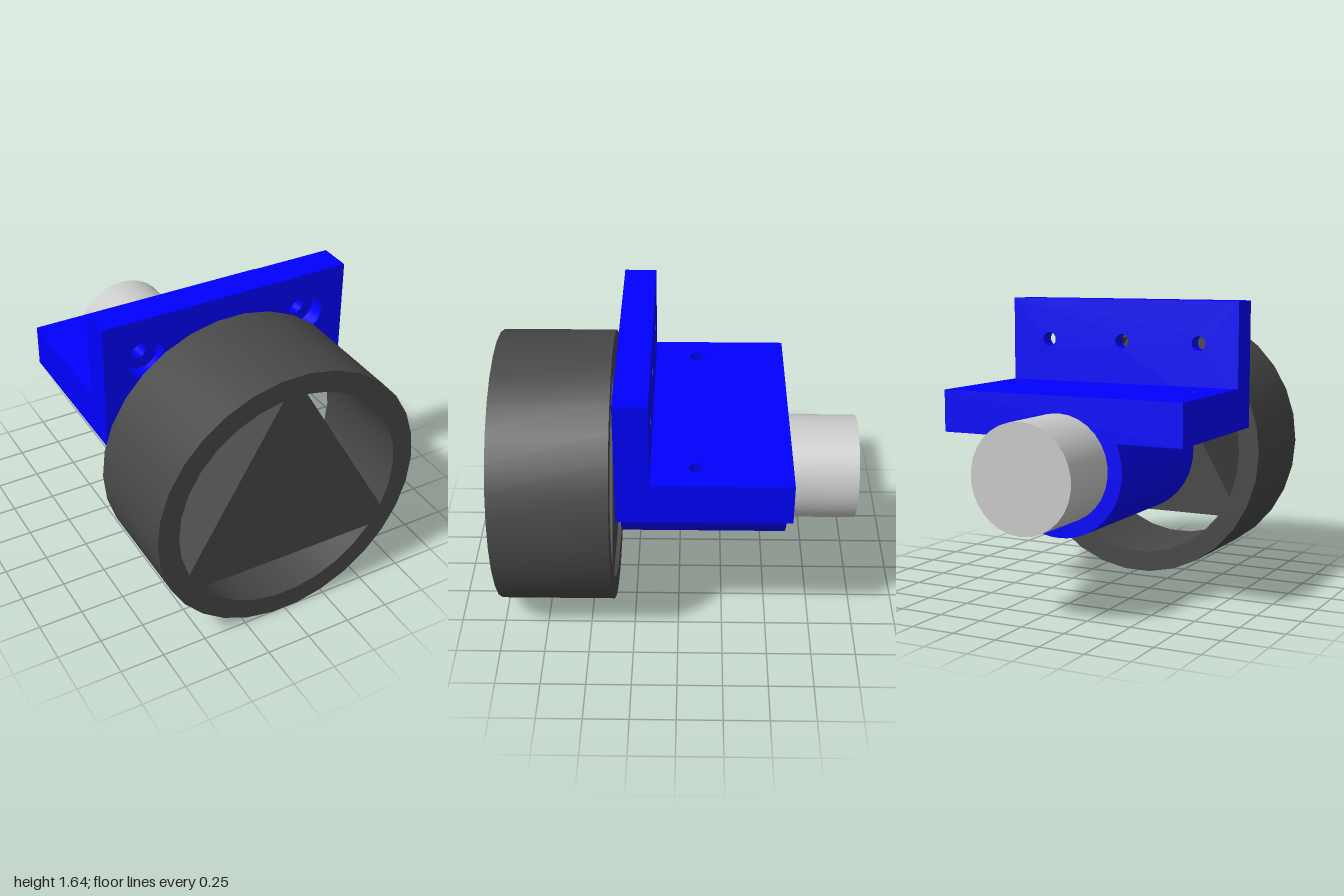
import * as THREE from 'three';
import { toCreasedNormals } from 'three/addons/utils/BufferGeometryUtils.js';

const AXIS_Y = 0.767; // height of the motor and wheel axis
const SIDES = 30;
const BACK = -0.605, FRONT = 0.325; // z range of the bracket

const blue = new THREE.MeshStandardMaterial({ color: 0x0000ff });
const dark = new THREE.MeshStandardMaterial({ color: 0x484848 });
const grey = new THREE.MeshStandardMaterial({ color: 0xcccccc });

// Points on a circle between two angles in degrees
function arc(r, from, to, steps, cx = 0, cy = 0) {
  return Array.from({ length: steps + 1 }, (_, i) => {
    const a = THREE.MathUtils.degToRad(from + (to - from) * i / steps);
    return new THREE.Vector2(cx + r * Math.cos(a), cy + r * Math.sin(a));
  });
}

const circle = (r, cx, cy, sides = SIDES) => arc(r, 0, 360 - 360 / sides, sides - 1, cx, cy);

function rect(x0, y0, x1, y1) {
  return [[x0, y0], [x1, y0], [x1, y1], [x0, y1]].map(p => new THREE.Vector2(...p));
}

// Straight extrusion along +z with smooth round walls and sharp edges
function extrude(outline, holes, depth) {
  const shape = new THREE.Shape(outline);
  shape.holes = holes.map(h => new THREE.Path(h));
  const geo = new THREE.ExtrudeGeometry(shape, { depth, bevelEnabled: false });
  return toCreasedNormals(geo, 0.5);
}

function add(parent, name, geo, material, x = 0, y = 0, z = 0) {
  const mesh = new THREE.Mesh(geo, material);
  mesh.name = name;
  mesh.position.set(x, y, z);
  parent.add(mesh);
  return mesh;
}

function rod(r, z0, z1) {
  return new THREE.CylinderGeometry(r, r, z1 - z0, SIDES)
    .rotateX(Math.PI / 2).translate(0, 0, (z0 + z1) / 2);
}

export function createModel() {
  const model = new THREE.Group();
  model.name = 'motorWheelUnit';

  // Wheel: a rim around a triangular web, leaving three round-backed openings
  const openings = [216, 336, 456].map(a => arc(0.65, a, a + 108, 9));
  add(model, 'wheel', extrude(circle(0.77, 0, 0), openings, 0.64), dark, 0, AXIS_Y, 0.36);

  // Motor and its drive shaft
  add(model, 'motor', rod(0.295, -1, -0.3), grey, 0, AXIS_Y);
  add(model, 'shaft', rod(0.045, 0.2, 0.5), grey, 0, AXIS_Y);

  // Bracket
  const bracket = new THREE.Group();
  bracket.name = 'bracket';
  model.add(bracket);

  // Upright plate: counterbored screw holes, wide in front and narrow behind
  const plate = rect(-0.72, 0.92, 0.72, 1.64);
  const screwHoles = r => [-0.48, 0, 0.48].map(x => circle(r, x, 1.4));
  add(bracket, 'uprightPlateFront', extrude(plate, screwHoles(0.108), 0.09), blue, 0, 0, FRONT - 0.09);
  add(bracket, 'uprightPlateBack', extrude(plate, screwHoles(0.042), 0.09), blue, 0, 0, FRONT - 0.18);

  // Shelf with two vertical screw holes
  const shelf = extrude(
    rect(-0.72, BACK, 0.72, FRONT - 0.18),
    [-0.555, 0.555].map(x => circle(0.042, x, -0.1)), 0.235);
  add(bracket, 'shelf', shelf.rotateX(Math.PI / 2), blue, 0, 1.155);

  // Rounded motor housing hanging below the shelf
  const a = THREE.MathUtils.radToDeg(Math.asin((0.92 - AXIS_Y) / 0.378));
  const housing = arc(0.378, 180 - a, 360 + a, SIDES);
  add(bracket, 'motorHousing', extrude(housing, [], FRONT - BACK), blue, 0, AXIS_Y, BACK);

  return model;
}
